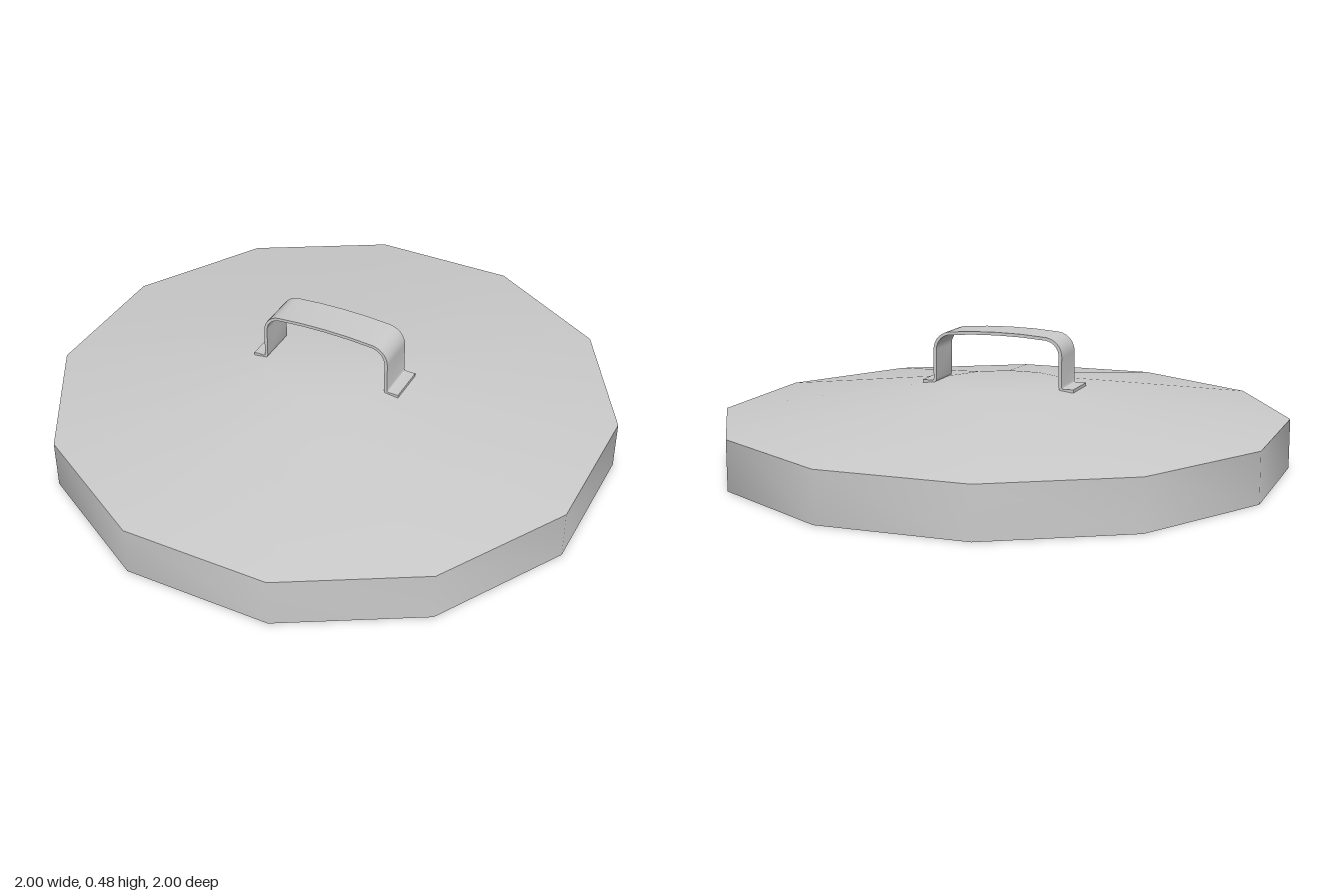
import * as THREE from 'three';
import { toCreasedNormals } from 'three/addons/utils/BufferGeometryUtils.js';

const material = new THREE.MeshStandardMaterial({ color: 0xcccccc });
const CREASE = 0.6;

function addMesh(parent, name, geometry) {
  const mesh = new THREE.Mesh(toCreasedNormals(geometry, CREASE), material);
  mesh.name = name;
  parent.add(mesh);
  return mesh;
}

// Twelve-sided hollow lid: inner shell, rim, outer wall and sloped top
function lidGeometry() {
  const profile = [
    [0, 0.245], [0.22, 0.245], [0.95, 0.137], [0.95, 0],
    [1, 0], [1, 0.175], [0.22, 0.29], [0, 0.29],
  ].map(([r, y]) => new THREE.Vector2(r, y));
  return new THREE.LatheGeometry(profile, 12);
}

// Bent metal strap with rounded shoulders and outward feet
function handleGeometry(width, thickness) {
  const half = [];
  const arc = (cx, cy, r, from, to, steps) => {
    for (let i = 0; i <= steps; i++) {
      const a = from + ((to - from) * i) / steps;
      half.push(new THREE.Vector2(cx + r * Math.cos(a), cy + r * Math.sin(a)));
    }
  };
  half.push(new THREE.Vector2(0.28, 0.286));
  arc(0.244, 0.298, 0.012, -Math.PI / 2, -Math.PI, 3); // foot bend
  arc(0.172, 0.402, 0.06, 0, Math.PI * 0.46, 7); // shoulder
  half.push(new THREE.Vector2(0.09, 0.468), new THREE.Vector2(0, 0.47));

  // Mirror the half path, then thicken it to both sides
  const mirrored = half.slice(0, -1).reverse().map((p) => new THREE.Vector2(-p.x, p.y));
  const path = [...half, ...mirrored];
  const offset = (side) => path.map((p, i) => {
    const a = path[Math.max(i - 1, 0)];
    const b = path[Math.min(i + 1, path.length - 1)];
    const t = b.clone().sub(a).normalize();
    return new THREE.Vector2(p.x + t.y * side, p.y - t.x * side);
  });
  const outline = [...offset(thickness / 2), ...offset(-thickness / 2).reverse()];
  const geometry = new THREE.ExtrudeGeometry(new THREE.Shape(outline), {
    depth: width, bevelEnabled: false,
  });
  geometry.translate(0, 0, -width / 2);
  geometry.rotateY(-Math.PI / 2);
  return geometry;
}

export function createModel() {
  const model = new THREE.Group();
  model.name = 'lid';
  addMesh(model, 'cover', lidGeometry());
  const handle = addMesh(model, 'handle', handleGeometry(0.142, 0.011));
  handle.rotation.y = THREE.MathUtils.degToRad(15);
  return model;
}
